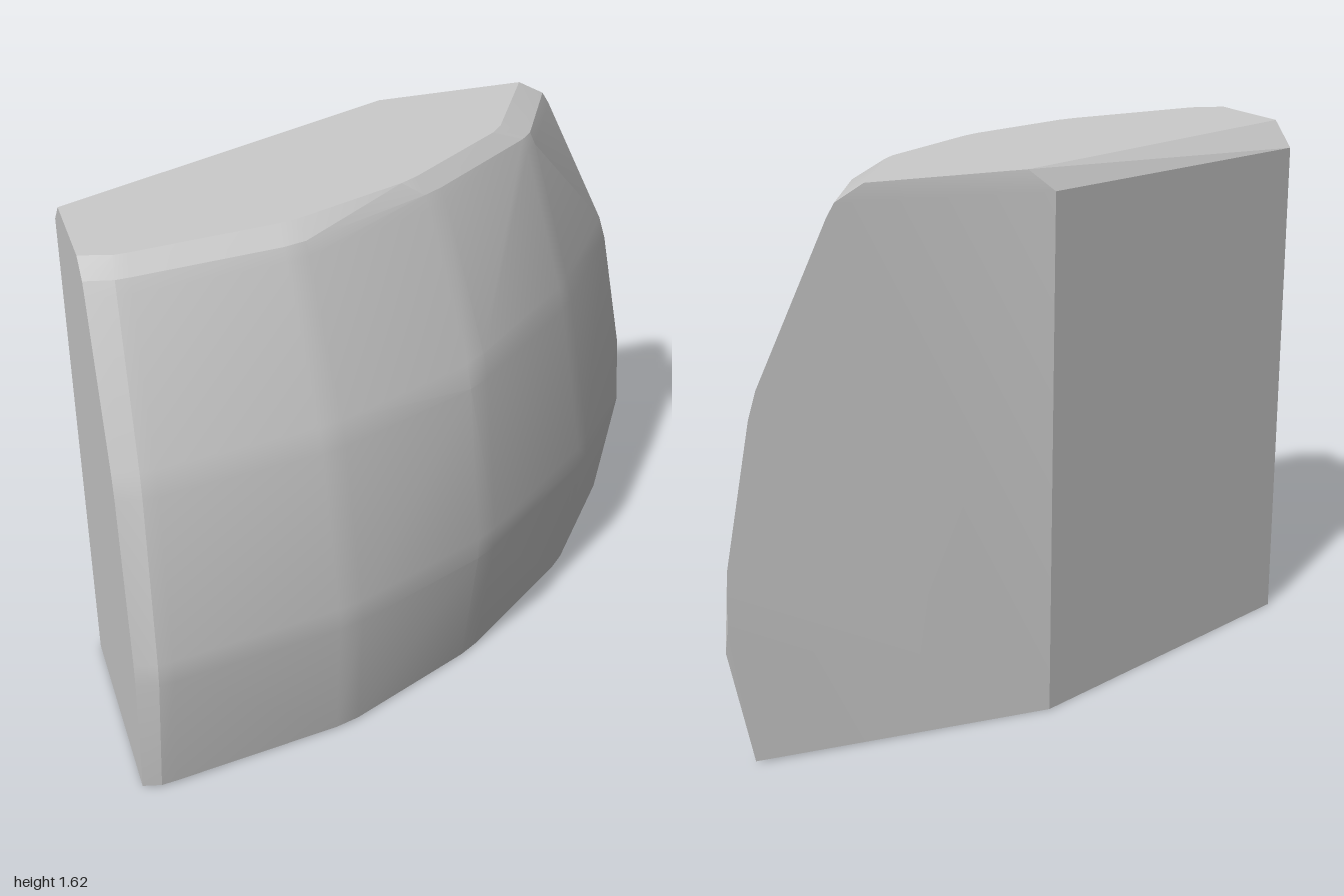
import * as THREE from 'three';
import { ConvexGeometry } from 'three/addons/geometries/ConvexGeometry.js';
import { toCreasedNormals } from 'three/addons/utils/BufferGeometryUtils.js';

// Curved front of the stone: rows from base to top rim, [x, z] from right end to left end
const rows = [
  { y: 0.005, p: [[-1, 0.525], [-0.94, 0.54], [-0.33, 0.44], [0.15, 0.21], [0.61, -0.16], [0.92, -0.57]] },
  { y: 0.46, p: [[-1, 0.585], [-0.93, 0.605], [-0.33, 0.505], [0.18, 0.28], [0.68, -0.13], [1.0, -0.6]] },
  { y: 1.06, p: [[-1, 0.51], [-0.92, 0.525], [-0.36, 0.445], [0.16, 0.22], [0.6, -0.17], [0.91, -0.6]] },
  { y: 1.575, p: [[-1, 0.29], [-0.91, 0.31], [-0.4, 0.25], [0.08, 0.03], [0.5, -0.28], [0.67, -0.6]] },
  { y: 1.625, p: [[-1, 0.22], [-0.9, 0.25], [-0.4, 0.19], [0, 0.03], [0.38, -0.25], [0.58, -0.6]] },
];

// Flat cut back: two vertical planes meeting at a corner, with a narrow top bevel
const back = [
  [-1, 0, -0.19], [0.02, 0, -0.6],
  [-1, 1.55, -0.19], [0.02, 1.56, -0.6],
  [-1, 1.625, -0.1], [0.1, 1.625, -0.59],
];

function createModel() {
  const at = (r, c) => new THREE.Vector3(rows[r].p[c][0], rows[r].y, rows[r].p[c][1]);
  const points = back.map((b) => new THREE.Vector3(...b));
  const lastRow = rows.length - 1;
  const lastCol = rows[0].p.length - 1;
  const inset = 0.07;

  // Pull every facet's corners slightly inward so the hull bevels the shared edges
  for (let r = 0; r < lastRow; r++) {
    for (let c = 0; c < lastCol; c++) {
      const us = [c === 0 ? 0 : inset, c === lastCol - 1 ? 1 : 1 - inset];
      const vs = [r === 0 ? 0 : inset, r === lastRow - 1 ? 1 : 1 - inset];
      for (const u of us) {
        for (const v of vs) {
          const low = at(r, c).lerp(at(r, c + 1), u);
          const high = at(r + 1, c).lerp(at(r + 1, c + 1), u);
          points.push(low.lerp(high, v));
        }
      }
    }
  }
  // Widest point of the pointed end
  points.push(new THREE.Vector3(1, 0.36, -0.59), new THREE.Vector3(0.99, 0.6, -0.6));

  const geometry = toCreasedNormals(new ConvexGeometry(points), 0.2);
  const stone = new THREE.Mesh(geometry, new THREE.MeshStandardMaterial({ color: 0xcccccc }));
  stone.name = 'stoneBlock';

  const group = new THREE.Group();
  group.name = 'cutStone';
  group.add(stone);
  return group;
}

export { createModel };
